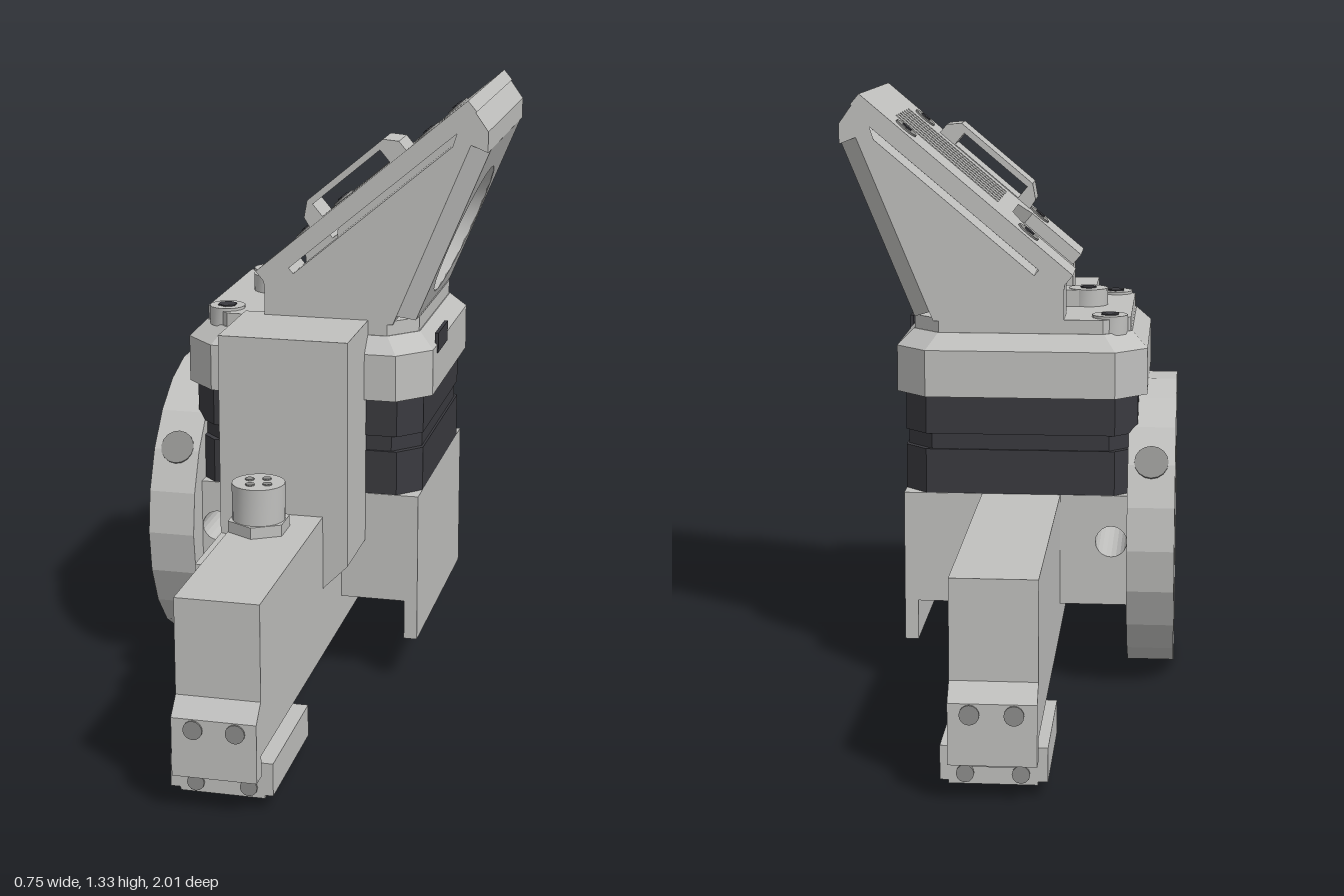
import * as THREE from 'three';
import { toCreasedNormals } from 'three/addons/utils/BufferGeometryUtils.js';

const grey = new THREE.MeshStandardMaterial({ color: 0xc0c0be, side: THREE.DoubleSide });
grey.name = 'machinedGrey';
const black = new THREE.MeshStandardMaterial({ color: 0x3a3a3f });
black.name = 'motorBlack';
const bore = new THREE.MeshStandardMaterial({ color: 0x8e8e8c });
bore.name = 'boreGrey';

const V = (x, y, z) => new THREE.Vector3(x, y, z);
const shapeOf = (pts, holes = []) => {
  const s = new THREE.Shape(pts.map(p => new THREE.Vector2(...p)));
  holes.forEach(h => s.holes.push(h));
  return s;
};
const polyHole = pts => new THREE.Path(pts.map(p => new THREE.Vector2(...p)));
const roundHole = (x, y, r, ry = r) => new THREE.Path().absellipse(x, y, r, ry, 0, Math.PI * 2, true);
const extrude = (shape, depth) =>
  new THREE.ExtrudeGeometry(shape, { depth, bevelEnabled: false, curveSegments: 10 });

export function createModel() {
  const model = new THREE.Group();
  model.name = 'railCarriageUnit';

  const add = (name, geo, mat = grey, pos = [0, 0, 0]) => {
    const m = new THREE.Mesh(geo, mat);
    m.name = name;
    m.position.set(...pos);
    model.add(m);
    return m;
  };
  const box = (name, x0, x1, y0, y1, z0, z1, mat) =>
    add(name, new THREE.BoxGeometry(x1 - x0, y1 - y0, z1 - z0), mat,
      [(x0 + x1) / 2, (y0 + y1) / 2, (z0 + z1) / 2]);
  // profile in x and y, swept from z0 to z1
  const sweep = (name, pts, z0, z1, holes, mat) =>
    add(name, extrude(shapeOf(pts, holes), z1 - z0), mat, [0, 0, z0]);
  // cylinder from point a along direction dir
  const rod = (name, a, dir, len, r, mat = grey, sides = 20, r2 = r) => {
    const d = V(...dir).normalize();
    const m = add(name, toCreasedNormals(new THREE.CylinderGeometry(r2, r, len, sides), 0.5), mat);
    m.quaternion.setFromUnitVectors(V(0, 1, 0), d);
    m.position.copy(V(...a)).addScaledVector(d, len / 2);
    return m;
  };
  // upright block with cut corners, top pulled in by inset
  const cutBlock = (name, x0, x1, hz, y0, y1, c, mat, inset = 0) => {
    const cx = (x0 + x1) / 2, hx = (x1 - x0) / 2;
    const g = extrude(shapeOf([[-hx + c, -hz], [hx - c, -hz], [hx, -hz + c], [hx, hz - c],
      [hx - c, hz], [-hx + c, hz], [-hx, hz - c], [-hx, -hz + c]]), y1 - y0);
    const p = g.attributes.position;
    for (let i = 0; i < p.count; i++) if (p.getZ(i) > 1e-4)
      p.setXY(i, p.getX(i) * (1 - inset / hx), p.getY(i) * (1 - inset / hz));
    g.rotateX(-Math.PI / 2);
    g.computeVertexNormals();
    return add(name, g, mat, [cx, y0, 0]);
  };

  // long beam with stepped ends
  const half = [[0.965, 0.125], [0.965, 0.08], [1, 0.08], [1, 0.205], [0.965, 0.24], [0.965, 0.445]];
  const beam = [...half, ...half.map(([z, y]) => [-z, y]).reverse()];
  add('beam', extrude(shapeOf(beam), 0.175).rotateY(Math.PI / 2), grey, [-0.12, 0, 0]);
  box('guideRail', -0.075, 0.01, 0.065, 0.126, -0.965, 0.965);
  for (let i = -4; i <= 4; i++)
    rod('railHole', [-0.032, 0.068, i * 0.15], [0, -1, 0], 0.005, 0.018, bore, 12);

  // sliding carriages and end screws
  for (const s of [-1, 1]) {
    const z = s * 0.805;
    box('carriage', -0.118, 0.058, 0.025, 0.06, z - 0.145, z + 0.145);
    for (const [x0, x1] of [[-0.138, -0.08], [0.018, 0.075]])
      box('carriageSide', x0, x1, 0.032, 0.102, z - 0.145, z + 0.145);
    for (const x of [-0.085, 0.025]) {
      rod('carriageScrew', [x, 0.047, s * 0.945], [0, 0, s], 0.01, 0.018, bore, 12);
      for (const dz of [-0.08, 0.08])
        rod('carriageHole', [x, 0.026, z + dz], [0, -1, 0], 0.004, 0.016, bore, 12);
    }
    for (const x of [-0.075, 0.012])
      rod('endScrew', [x, 0.183, s * 0.998], [0, 0, s], 0.006, 0.02, bore, 16);
  }

  // saddle under the motor
  sweep('saddle', [[-0.27, 0.195], [0.2, 0.195], [0.2, 0.105], [0.23, 0.105], [0.23, 0.445], [-0.27, 0.445]],
    -0.265, 0.265, [roundHole(-0.234, 0.34, 0.035)]);
  box('sensorBlock', -0.175, -0.118, 0.2, 0.39, 0.26, 0.64);
  rod('sensorHole', [-0.13, 0.275, 0.638], [0, 0, 1], 0.005, 0.013, bore, 12);

  // cable cover at the front
  sweep('cableCover', [[-0.12, 0.28], [0.055, 0.28], [0.11, 0.335], [0.11, 0.838], [-0.175, 0.838], [-0.175, 0.395]],
    0.22, 0.443);

  // round connector
  rod('connectorNut', [-0.06, 0.44, 0.545], [0, 1, 0], 0.03, 0.068, grey, 6);
  rod('connectorBody', [-0.06, 0.465, 0.545], [0, 1, 0], 0.085, 0.057);
  for (let i = 0; i < 4; i++) {
    const a = i * Math.PI / 2 + 0.5;
    rod('connectorPin', [-0.06 + 0.026 * Math.cos(a), 0.549, 0.545 + 0.026 * Math.sin(a)], [0, 1, 0], 0.004, 0.01, bore, 10);
  }

  // motor body with a recessed middle band
  cutBlock('motorLower', -0.29, 0.23, 0.263, 0.445, 0.545, 0.05, black);
  cutBlock('motorBand', -0.285, 0.225, 0.258, 0.545, 0.58, 0.058, black);
  cutBlock('motorUpper', -0.29, 0.23, 0.263, 0.58, 0.666, 0.05, black);

  // motor cap
  cutBlock('cap', -0.31, 0.25, 0.28, 0.666, 0.77, 0.07, grey);
  cutBlock('capSlope', -0.31, 0.25, 0.28, 0.77, 0.805, 0.07, grey, 0.035);
  cutBlock('capTop', -0.272, 0.213, 0.243, 0.805, 0.836, 0.06, grey);
  box('capSocket', 0.245, 0.253, 0.752, 0.797, 0.05, 0.165, black);
  for (const z of [-0.19, 0.19]) {
    rod('capScrew', [-0.225, 0.8, z], [0, 1, 0], 0.042, 0.04, grey, 16);
    rod('capScrewSocket', [-0.225, 0.841, z], [0, 1, 0], 0.004, 0.022, black, 6);
  }
  rod('boss', [-0.168, 0.83, 0], [0, 1, 0], 0.045, 0.045);
  box('bossTab', -0.168, 0.01, 0.83, 0.874, -0.04, 0.04);
  rod('bossHole', [-0.168, 0.873, 0], [0, 1, 0], 0.005, 0.018, black, 12);

  // handwheel, turned about x
  const rim = [[0.03, 0.27], [0.338, 0.27], [0.338, 0.375], [0.22, 0.375], [0.2, 0.295], [0.03, 0.295], [0.03, 0.27]];
  const wheelGeo = toCreasedNormals(new THREE.LatheGeometry(rim.map(p => new THREE.Vector2(...p)), 22), 0.2);
  add('handwheel', wheelGeo.rotateZ(Math.PI / 2), grey, [0, 0.338, 0]);
  rod('wheelHub', [-0.26, 0.338, 0], [-1, 0, 0], 0.07, 0.06);
  rod('wheelHubBore', [-0.329, 0.338, 0], [-1, 0, 0], 0.004, 0.03, bore);
  for (const deg of [34, 146, 270]) {
    const a = deg * Math.PI / 180, c = Math.cos(a), s = Math.sin(a);
    rod('rimHole', [-0.322, 0.338 + 0.33 * s, 0.33 * c], [0, s, c], 0.009, 0.038, bore, 16);
    rod('innerRimHole', [-0.335, 0.338 + 0.222 * s, 0.222 * c], [0, -s, -c], 0.008, 0.034, bore, 16);
    rod('wheelBolt', [-0.293, 0.338 - 0.13 * s, -0.13 * c], [-1, 0, 0], 0.008, 0.02, bore, 12);
  }

  // head frame: u runs up the sloped top, n points out of it
  const P0 = [-0.145, 0.935], u = [0.766, 0.643], n = [-0.643, 0.766];
  const at = (a, b) => [P0[0] + a * u[0] + b * n[0], P0[1] + a * u[1] + b * n[1]];
  const slot = () => polyHole([at(0.065, -0.056), at(0.56, -0.056), at(0.56, -0.04), at(0.065, -0.04)]);
  const wall = [[-0.125, 0.83], [0.165, 0.83], [0.333, 1.235], [0.37, 1.22], [0.37, 1.265], [0.325, 1.329],
    at(0.612, -0.028), at(0, -0.028), [-0.125, 0.9]];
  sweep('headWallLeft', wall, 0.135, 0.243, [slot()]);
  sweep('headWallRight', wall, -0.243, -0.135, [slot()]);
  sweep('headCore', [[0, 0.83], [0.12, 0.83], [0.24, 1.165], [0.352, 1.19], [0.37, 1.22], [0.37, 1.265], [0.325, 1.329],
    at(0.612, -0.028), at(0.19, -0.028)], -0.135, 0.135);

  // sloped cover plate with vents and a notch
  const vents = [];
  for (let i = -3; i <= 3; i++) {
    const z = i * 0.037;
    vents.push(polyHole([[0.23, z - 0.006], [0.53, z - 0.006], [0.53, z + 0.006], [0.23, z + 0.006]]));
  }
  const plate = add('coverPlate', extrude(shapeOf([[0, -0.243], [0.614, -0.243], [0.614, 0.243], [0, 0.243],
    [0, 0.12], [0.15, 0.12], [0.19, 0.08], [0.19, -0.08], [0.15, -0.12], [0, -0.12]], vents), 0.03));
  plate.quaternion.setFromRotationMatrix(new THREE.Matrix4().makeBasis(V(...u, 0), V(0, 0, -1), V(...n, 0)));
  plate.position.set(...at(0, -0.03), 0);
  for (const a of [0.135, 0.49]) for (const z of [-0.18, 0.175]) {
    rod('plateScrew', [...at(a, -0.002), z], [...n, 0], 0.006, 0.028, bore, 16);
    rod('plateScrewSocket', [...at(a, 0.003), z], [...n, 0], 0.004, 0.014, black, 6);
  }

  // raised loop on the cover plate
  sweep('loopHandle', [at(0.16, -0.01), at(0.44, -0.01), at(0.44, 0.025), at(0.415, 0.05), at(0.195, 0.05), at(0.165, 0.025)],
    0.155, 0.24, [polyHole([at(0.2, 0.002), at(0.395, 0.002), at(0.395, 0.036), at(0.2, 0.036)])]);

  // slanted rear panel with a round opening, its side edges cut back
  const t = V(0.384, 0.923, 0), m = V(0.923, -0.384, 0);
  const face = new THREE.Matrix4().makeBasis(V(0, 0, -1), t, m);
  const pg = extrude(shapeOf([[-0.243, 0], [0.243, 0], [0.243, 0.417], [-0.243, 0.417]],
    [roundHole(0, 0.18, 0.18, 0.155)]), 0.04);
  const pp = pg.attributes.position;
  for (let i = 0; i < pp.count; i++)
    if (Math.abs(pp.getX(i)) > 0.23 && pp.getZ(i) > 0.03) pp.setX(i, Math.sign(pp.getX(i)) * 0.208);
  pg.computeVertexNormals();
  const panel = add('rearPanel', pg);
  panel.quaternion.setFromRotationMatrix(face);
  panel.position.set(0.21, 0.835, 0).addScaledVector(m, -0.04);

  // funnel and dark nozzle inside the opening
  const centre = V(0.21, 0.835, 0).addScaledVector(t, 0.18);
  const funnel = add('funnel', new THREE.LatheGeometry(
    [[0, -0.1], [0.08, -0.1], [0.11, -0.075], [0.14, -0.045], [0.165, -0.018], [0.18, 0]].map(p => new THREE.Vector2(...p)), 28)
    .rotateX(Math.PI / 2).scale(1, 0.86, 1));
  funnel.quaternion.setFromRotationMatrix(face);
  funnel.position.copy(centre);
  rod('nozzle', centre.clone().addScaledVector(m, -0.11).toArray(), m.toArray(), 0.07, 0.083, black, 16, 0.075);

  return model;
}
